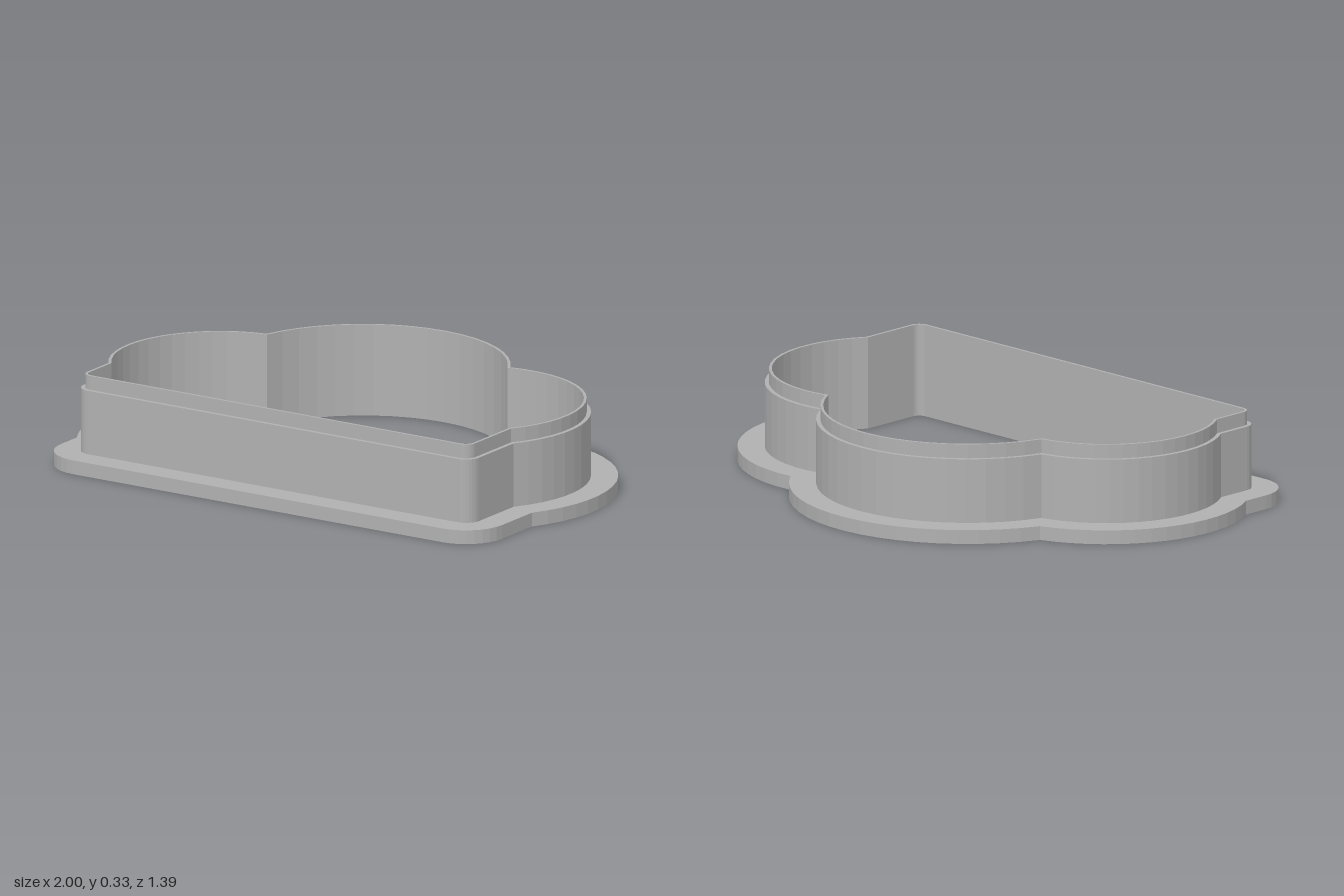
import * as THREE from 'three';

// Lobes of the cloud outline, plan coordinates (x, v = -z), at the inner wall
const RIGHT = { x: 0.473, v: -0.083, r: 0.407 };
const TOP = { x: -0.065, v: 0.068, r: 0.505 };
const LEFT = { x: -0.5, v: -0.18, r: 0.38 };
const BASE = { half: 0.805, bottom: -0.573, corner: 0.03 };

// Outer meeting point of two lobes, walking from a to b
function meet(a, b, d) {
  const ra = a.r + d, rb = b.r + d;
  const dx = b.x - a.x, dv = b.v - a.v, len = Math.hypot(dx, dv);
  const along = (len * len + ra * ra - rb * rb) / (2 * len);
  const out = Math.sqrt(ra * ra - along * along);
  return [a.x + (dx * along + dv * out) / len, a.v + (dv * along - dx * out) / len];
}

// Where a straight base side meets the lower part of a lobe
function sideMeet(c, side, d) {
  const x = side * (BASE.half + d);
  return [x, c.v - Math.sqrt((c.r + d) ** 2 - (x - c.x) ** 2)];
}

// Cloud outline pushed outward by d, counter-clockwise seen from above
function outline(d) {
  const pts = [];
  const arc = (x, v, r, from, to, n) => {
    for (let i = 0; i <= n; i++) {
      const a = from + (to - from) * i / n;
      pts.push([x + r * Math.cos(a), v + r * Math.sin(a)]);
    }
  };
  const lobe = (c, p, q, n) => {
    const from = Math.atan2(p[1] - c.v, p[0] - c.x);
    let to = Math.atan2(q[1] - c.v, q[0] - c.x);
    if (to < from) to += Math.PI * 2;
    arc(c.x, c.v, c.r + d, from, to, n);
  };
  const cx = BASE.half - BASE.corner, cv = BASE.bottom + BASE.corner, cr = BASE.corner + d;
  arc(-cx, cv, cr, Math.PI, Math.PI * 1.5, 8);
  arc(cx, cv, cr, -Math.PI / 2, 0, 8);
  const rightTop = meet(RIGHT, TOP, d), topLeft = meet(TOP, LEFT, d);
  lobe(RIGHT, sideMeet(RIGHT, 1, d), rightTop, 18);
  lobe(TOP, rightTop, topLeft, 18);
  lobe(LEFT, topLeft, sideMeet(LEFT, -1, d), 16);
  return pts;
}

// Sweep a profile of [offset, height] points around the outline
function band(name, profile, material) {
  const rings = profile.map(([d, y]) => outline(d).map(([x, v]) => [x, y, -v]));
  const pos = [];
  for (let j = 0; j < rings.length - 1; j++) {
    const lo = rings[j], hi = rings[j + 1];
    for (let i = 0; i < lo.length; i++) {
      const k = (i + 1) % lo.length;
      pos.push(...lo[i], ...lo[k], ...hi[k], ...lo[i], ...hi[k], ...hi[i]);
    }
  }
  const geo = new THREE.BufferGeometry();
  geo.setAttribute('position', new THREE.Float32BufferAttribute(pos, 3));
  geo.computeVertexNormals();
  const mesh = new THREE.Mesh(geo, material);
  mesh.name = name;
  return mesh;
}

export function createModel() {
  const group = new THREE.Group();
  group.name = 'cloudCutter';
  const grey = new THREE.MeshStandardMaterial({ color: 0xb0b0b0 });
  grey.name = 'grey plastic';

  // Wide grip flange, open where the wall rises from it
  group.add(band('flange', [[0, 0.05], [0, 0], [0.12, 0], [0.12, 0.05], [0.025, 0.05]], grey));
  // Main wall: outer face with its shoulder, then inner face
  group.add(band('wallOuter', [[0.025, 0.05], [0.025, 0.28], [0.01, 0.28]], grey));
  group.add(band('wallInner', [[0, 0.28], [0, 0.05]], grey));
  // Thin cutting edge
  group.add(band('cuttingEdge', [[0.01, 0.28], [0.01, 0.33], [0, 0.33], [0, 0.28]], grey));
  return group;
}
